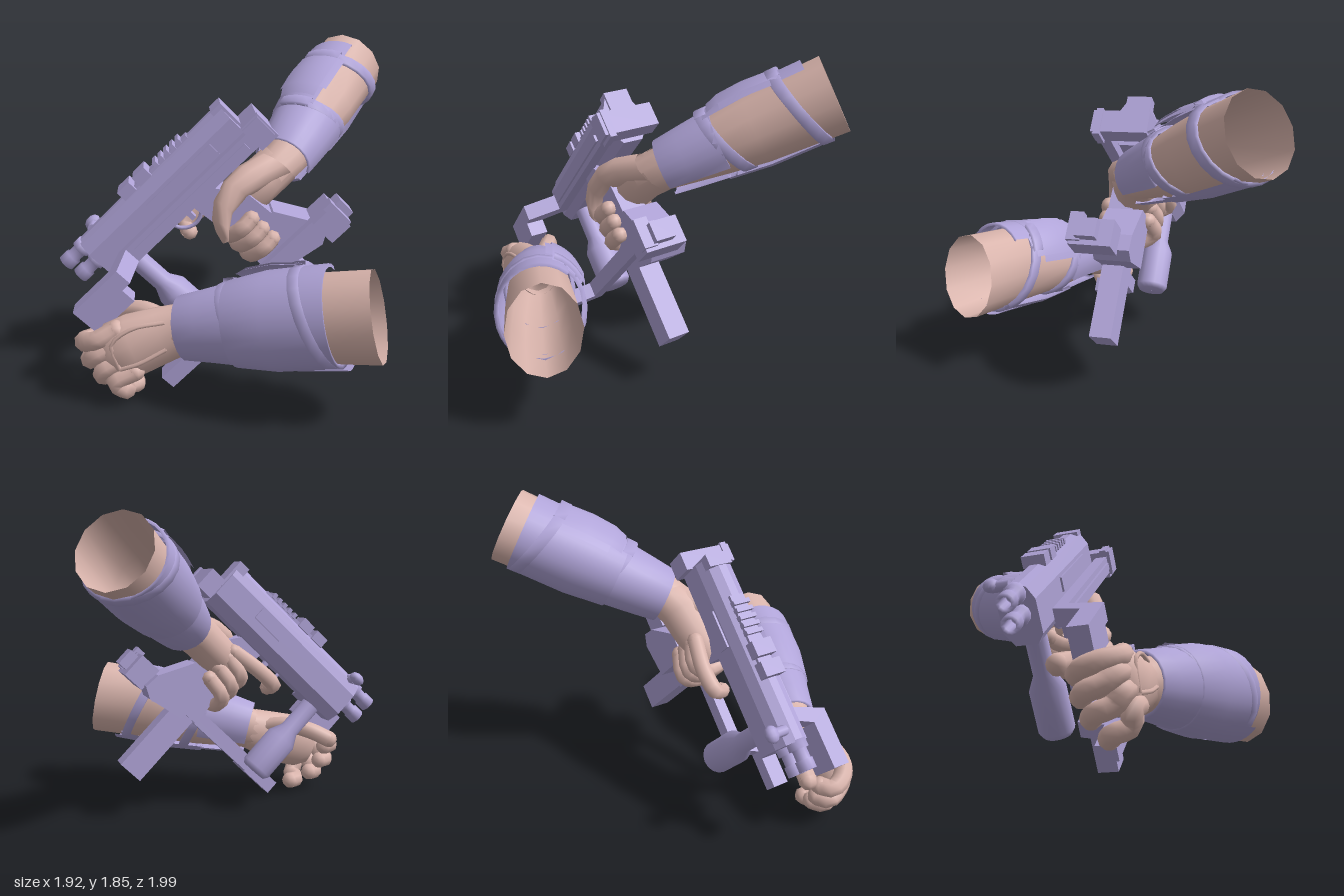
import * as THREE from 'three';

const armour = new THREE.MeshStandardMaterial({ color: 0xb0a4d8, side: THREE.DoubleSide });
armour.name = 'lilac armour';
const skin = new THREE.MeshStandardMaterial({ color: 0xdab5ad, side: THREE.DoubleSide });
skin.name = 'skin';
const V = (p) => new THREE.Vector3(...p);

function add(parent, name, geo, mat) {
  const m = new THREE.Mesh(geo, mat);
  m.name = name;
  parent.add(m);
  return m;
}

// Surface through elliptical rings [x, y, z, rUp, rSide]; degrees run from up toward the side, skew slants the rings
function loft(stations, from = 0, to = 360, segs = 14, skew = 0) {
  const dir = V(stations.at(-1).slice(0, 3)).sub(V(stations[0].slice(0, 3))).normalize();
  const up = new THREE.Vector3(0, 1, 0).addScaledVector(dir, -dir.y).normalize();
  const side = dir.clone().cross(up);
  const closed = to - from >= 360, cols = closed ? segs : segs + 1;
  const pos = [], idx = [];
  stations.forEach(([x, y, z, ru, rs]) => {
    for (let j = 0; j < cols; j++) {
      const t = THREE.MathUtils.degToRad(from + (to - from) * j / segs);
      const p = new THREE.Vector3(x, y, z).addScaledVector(up, ru * Math.cos(t))
        .addScaledVector(side, rs * Math.sin(t)).addScaledVector(dir, skew * Math.cos(t));
      pos.push(p.x, p.y, p.z);
    }
  });
  for (let i = 0; i < stations.length - 1; i++) for (let j = 0; j < segs; j++) {
    const a = i * cols + j, b = i * cols + (j + 1) % cols;
    idx.push(a, b, a + cols, b, b + cols, a + cols);
  }
  const g = new THREE.BufferGeometry();
  g.setAttribute('position', new THREE.Float32BufferAttribute(pos, 3));
  g.setIndex(idx);
  g.computeVertexNormals();
  return g;
}

// Ring station on a straight limb axis at fraction t
const on = (limb, t, ru, rs = ru) => [...V(limb[0]).lerp(V(limb[1]), t).toArray(), ru, rs];

function finger(parent, name, pts, r) {
  const curve = new THREE.CatmullRomCurve3(pts.map(V));
  add(parent, name, new THREE.TubeGeometry(curve, 12, r, 8), skin);
  for (const p of [pts[0], pts.at(-1)]) add(parent, name + 'End', new THREE.SphereGeometry(r, 8, 6).translate(...p), skin);
}

// Local gun axes: x forward, y toward its left side, z up
function createGun() {
  const gun = new THREE.Group();
  gun.name = 'gun';
  const f = new THREE.Vector3(-0.674, -0.695, 0.25).normalize();
  const s = new THREE.Vector3(-0.63, 0.715, 0.29).cross(f).normalize();
  const u = f.clone().cross(s);
  gun.quaternion.setFromRotationMatrix(new THREE.Matrix4().makeBasis(f, s, u));
  gun.position.set(-0.35, 1.03, 0.385);

  const box = (name, a0, a1, c0, c1, b0, b1) => add(gun, name,
    new THREE.BoxGeometry(a1 - a0, c1 - c0, b1 - b0).translate((a0 + a1) / 2, (c0 + c1) / 2, (b0 + b1) / 2), armour);
  const shape = (pts) => new THREE.Shape(pts.map((p) => new THREE.Vector2(...p)));
  const extrude = (pts, depth) => new THREE.ExtrudeGeometry(shape(pts), { depth, bevelEnabled: false });
  const alongX = new THREE.Matrix4().makeBasis(new THREE.Vector3(0, 1, 0), new THREE.Vector3(0, 0, 1), new THREE.Vector3(1, 0, 0));
  const sideways = new THREE.Matrix4().makeBasis(new THREE.Vector3(1, 0, 0), new THREE.Vector3(0, 0, 1), new THREE.Vector3(0, -1, 0));

  // Receiver with chamfered section
  const section = [[-0.1, -0.13], [0.02, -0.13], [0.055, -0.08], [0.055, 0.1], [0.02, 0.165], [-0.02, 0.185],
    [-0.07, 0.185], [-0.12, 0.155], [-0.15, 0.09], [-0.15, -0.06]];
  add(gun, 'receiver', extrude(section, 1.12).applyMatrix4(alongX).translate(-0.58, 0, 0), armour);
  box('receiverPanel', -0.4, 0.1, 0.045, 0.066, 0.0, 0.08);
  box('farPanel', -0.3, -0.08, -0.162, -0.1, 0.0, 0.08);

  // Rear crosspiece and clamps
  box('rearBlock', -0.7, -0.59, -0.17, 0.17, -0.11, 0.03);
  box('rearPlate', -0.595, -0.52, -0.13, 0.02, 0.0, 0.192);
  box('rearClamp', -0.71, -0.59, 0.11, 0.15, -0.13, 0.04);

  // Top rail, sight blocks and side knob
  box('topRail', -0.33, 0.17, -0.09, 0.0, 0.17, 0.192);
  for (let i = 0; i < 5; i++) box('railTooth', -0.29 + i * 0.045, -0.266 + i * 0.045, -0.1, 0.01, 0.18, 0.215);
  box('sightBlock', -0.04, 0.05, -0.11, 0.02, 0.17, 0.235);
  box('sightBlock', 0.08, 0.17, -0.11, 0.02, 0.17, 0.235);
  add(gun, 'knobStem', new THREE.CylinderGeometry(0.03, 0.03, 0.1, 8).translate(0.46, -0.14, 0.165), armour);
  add(gun, 'knob', new THREE.SphereGeometry(0.045, 10, 8).scale(1.15, 0.9, 0.8).translate(0.46, -0.19, 0.175), armour);

  // Twin barrels with hollow ends
  for (const b of [0.14, 0.03]) {
    const tube = [[0.03, 0.08], [0.03, 0.17], [0.05, 0.17], [0.05, 0.11], [0.041, 0.11], [0.041, 0.05], [0.056, 0.05], [0.056, 0], [0.001, 0]];
    const g = new THREE.LatheGeometry(tube.map((p) => new THREE.Vector2(...p)).reverse(), 12);
    add(gun, 'barrel', g.rotateZ(-Math.PI / 2).translate(0.53, -0.04, b), armour);
  }

  // Two parallel rails that step outward at the front
  const rail = (front, back) => [[back, 0.08], [0.4, 0.08], [0.46, 0.24], [front, 0.24], [front, 0.35], [0.4, 0.35], [0.34, 0.15], [back, 0.15]];
  add(gun, 'upperRail', extrude(rail(0.74, -0.67), 0.1).translate(0, 0, -0.1), armour);
  add(gun, 'lowerRail', extrude(rail(0.7, -0.65), 0.09).translate(0, 0, -0.72), armour);
  box('upperRailHead', 0.46, 0.74, 0.24, 0.35, -0.19, -0.05);
  box('railLip', -0.55, 0.3, 0.14, 0.165, -0.07, -0.03);
  box('lowerRailEnd', -0.64, -0.5, -0.06, 0.19, -0.79, -0.63);
  box('lowerRailClamp', -0.66, -0.6, 0.12, 0.2, -0.77, -0.6);
  box('lowerRailClamp', -0.7, -0.63, 0.02, 0.14, -0.76, -0.65);

  // Grip, rear housing, magazine and foregrip
  const grip = [[-0.08, -0.08], [-0.12, -0.45], [-0.1, -0.72], [-0.39, -0.72], [-0.35, -0.26], [-0.22, -0.08]];
  add(gun, 'grip', extrude(grip, 0.15).applyMatrix4(sideways).translate(0, 0.09, 0), armour);
  const housing = [[-0.22, -0.45], [-0.22, -0.76], [-0.44, -0.8], [-0.51, -0.76], [-0.5, -0.66], [-0.38, -0.45]];
  add(gun, 'rearHousing', extrude(housing, 0.22).applyMatrix4(sideways).translate(0, 0.09, 0), armour);
  box('magazine', -0.28, -0.12, -0.04, 0.09, -1.21, -0.6);
  const gripProfile = [[0.001, -0.69], [0.08, -0.69], [0.1, -0.66], [0.1, -0.42], [0.06, -0.34], [0.06, -0.08]];
  add(gun, 'foregrip', new THREE.LatheGeometry(gripProfile.map((p) => new THREE.Vector2(...p)), 16)
    .rotateX(Math.PI / 2).translate(0.4, -0.04, 0), armour);

  // Trigger and guard
  add(gun, 'triggerGuard', new THREE.TorusGeometry(0.1, 0.012, 6, 14, Math.PI).rotateX(-Math.PI / 2).translate(0, -0.03, -0.12), armour);
  box('trigger', -0.03, 0, -0.05, -0.01, -0.19, -0.1);

  // Gripping fingers wrapped around the grip
  for (let i = 0; i < 3; i++) {
    const b = -0.38 - i * 0.085;
    finger(gun, 'rightFinger', [[-0.25, -0.13, b + 0.09], [-0.12, -0.15, b + 0.06], [-0.085, -0.03, b], [-0.12, 0.09, b], [-0.2, 0.14, b], [-0.27, 0.12, b]], 0.048);
  }
  finger(gun, 'rightIndexFinger', [[-0.25, -0.13, -0.24], [-0.05, -0.17, -0.22], [0.08, -0.15, -0.22], [0.08, -0.09, -0.25]], 0.048);
  return gun;
}

// Shared forearm armour: open cuff and shell, slanted straps, elbow pad; each range is [from, to] in degrees
function armourSet(g, limb, r0, r1, cuff, shell, pad, squash) {
  const ring = (t, r) => on(limb, t, r, r * squash);
  const mid = (r0 + r1) / 2;
  add(g, 'cuff', loft([ring(0, r0 * 0.9), ring(0, r0), ring(0.15, r0 * 1.1), ring(0.38, mid * 1.02), ring(0.38, mid * 0.92)], ...cuff, 20), armour);
  add(g, 'forearmShell', loft([ring(0.34, mid * 0.94), ring(0.34, mid * 1.04), ring(0.6, r1 * 0.99), ring(0.98, r1), ring(0.98, r1 * 0.93)], ...shell, 20), armour);
  const [p0, p1] = pad;
  for (const [t, r] of [[0.37, mid], [0.84, r1]]) {
    add(g, 'strap', loft([ring(t, r * 0.92), ring(t, r * 1.01), ring(t + 0.07, r * 1.02), ring(t + 0.07, r * 0.92)], 0, 360, 20, -0.07), armour);
    // Buckle block over the strap
    add(g, 'buckle', loft([ring(t, r * 0.98), ring(t, r * 1.1), ring(t + 0.07, r * 1.1), ring(t + 0.07, r * 0.98)], p0 + 15, p1 - 10, 4, -0.07), armour);
  }
  // Pad built from rows that drop into the shell at both ends
  const c = (p0 + p1) / 2, half = (p1 - p0) / 2;
  const rows = [[0.38, 0.97], [0.46, 1.08], [0.62, 1.12], [0.78, 1.08], [0.86, 0.97]].map(([t, k]) => ring(t, r1 * k));
  add(g, 'elbowPad', loft(rows, c - half * 0.75, c + half * 0.75, 8), armour);
  add(g, 'elbowPadWings', loft(rows.slice(1, 4).map(([x, y, z, a, b]) => [x, y, z, a * 0.97, b * 0.97]), p0, p1, 8), armour);
}

function createRightArm() {
  const g = new THREE.Group();
  g.name = 'rightArm';
  const limb = [[0.21, 1.21, 0.0], [0.39, 1.62, -0.82]];
  add(g, 'forearm', loft([[0.14, 1.13, 0.14, 0.11, 0.11], on(limb, 0, 0.13), on(limb, 0.35, 0.18), on(limb, 0.6, 0.21), [0.41, 1.65, -0.89, 0.225, 0.22]], 0, 360, 12), skin);
  armourSet(g, limb, 0.165, 0.235, [150, 478], [140, 385], [-45, 30], 1.06);
  // Palm and tapering thumb
  add(g, 'palm', loft([[0.2, 1.2, 0.02, 0.13, 0.13], [0.13, 1.13, 0.1, 0.13, 0.14], [0.05, 1.04, 0.15, 0.125, 0.13], [-0.03, 0.96, 0.18, 0.11, 0.1], [-0.08, 0.91, 0.2, 0.07, 0.06], [-0.1, 0.89, 0.21, 0.01, 0.01]], 0, 360, 12), skin);
  add(g, 'rightThumb', loft([[0.19, 1.2, 0.08, 0.11, 0.11], [0.1, 1.16, 0.21, 0.1, 0.1], [0.02, 1.1, 0.31, 0.08, 0.075], [-0.03, 1.01, 0.37, 0.065, 0.06], [-0.04, 0.91, 0.39, 0.06, 0.055], [-0.03, 0.84, 0.385, 0.045, 0.045], [-0.03, 0.8, 0.38, 0.005, 0.005]], 0, 360, 10), skin);
  return g;
}

function createLeftArm() {
  const g = new THREE.Group();
  g.name = 'leftArm';
  const limb = [[-0.13, 0.43, 0.74], [0.71, 0.62, 0.74]];
  add(g, 'forearm', loft([[-0.2, 0.41, 0.75, 0.13, 0.11], on(limb, 0, 0.14, 0.13), on(limb, 0.4, 0.2, 0.18), on(limb, 0.8, 0.24, 0.19), [0.91, 0.635, 0.73, 0.25, 0.2]], 0, 360, 12), skin);
  armourSet(g, limb, 0.18, 0.27, [-118, 210], [-40, 220], [-75, -10], 0.9);
  add(g, 'lowerPlate', loft([on(limb, 0.72, 0.27, 0.24), on(limb, 1.03, 0.285, 0.25)], 145, 215, 8), armour);
  // Palm, thumb and curled fingers
  add(g, 'palm', loft([[-0.13, 0.43, 0.74, 0.14, 0.12], [-0.24, 0.39, 0.77, 0.16, 0.115], [-0.38, 0.34, 0.83, 0.18, 0.12], [-0.49, 0.3, 0.86, 0.165, 0.115], [-0.55, 0.27, 0.87, 0.11, 0.08], [-0.57, 0.26, 0.87, 0.01, 0.01]], 0, 360, 14), skin);
  finger(g, 'leftThumb', [[-0.25, 0.45, 0.72], [-0.4, 0.47, 0.68], [-0.55, 0.44, 0.66], [-0.68, 0.38, 0.67]], 0.056);
  const knuckles = [[-0.5, 0.42], [-0.51, 0.33], [-0.47, 0.25], [-0.4, 0.19]];
  const tips = [[-0.69, 0.31], [-0.66, 0.21], [-0.59, 0.125], [-0.46, 0.06]];
  knuckles.forEach(([x, y], i) => {
    const [tx, ty] = tips[i];
    finger(g, 'leftFinger', [[x + 0.04, y + 0.02, 0.89], [x - 0.06, y - 0.04, 0.93], [tx + 0.04, ty + 0.03, 0.89], [tx, ty, 0.82], [tx + 0.04, ty, 0.76]], 0.055);
  });
  // Raised seams on the back of the hand
  for (const path of [[[-0.2, 0.5, 0.85], [-0.36, 0.47, 0.92], [-0.46, 0.38, 0.96], [-0.42, 0.24, 0.95]], [[-0.18, 0.36, 0.88], [-0.32, 0.28, 0.935], [-0.42, 0.24, 0.95]]])
    add(g, 'gloveSeam', new THREE.TubeGeometry(new THREE.CatmullRomCurve3(path.map(V)), 10, 0.012, 5), skin);
  return g;
}

export function createModel() {
  const model = new THREE.Group();
  model.name = 'armsWithGun';
  model.add(createGun(), createRightArm(), createLeftArm());
  return model;
}
